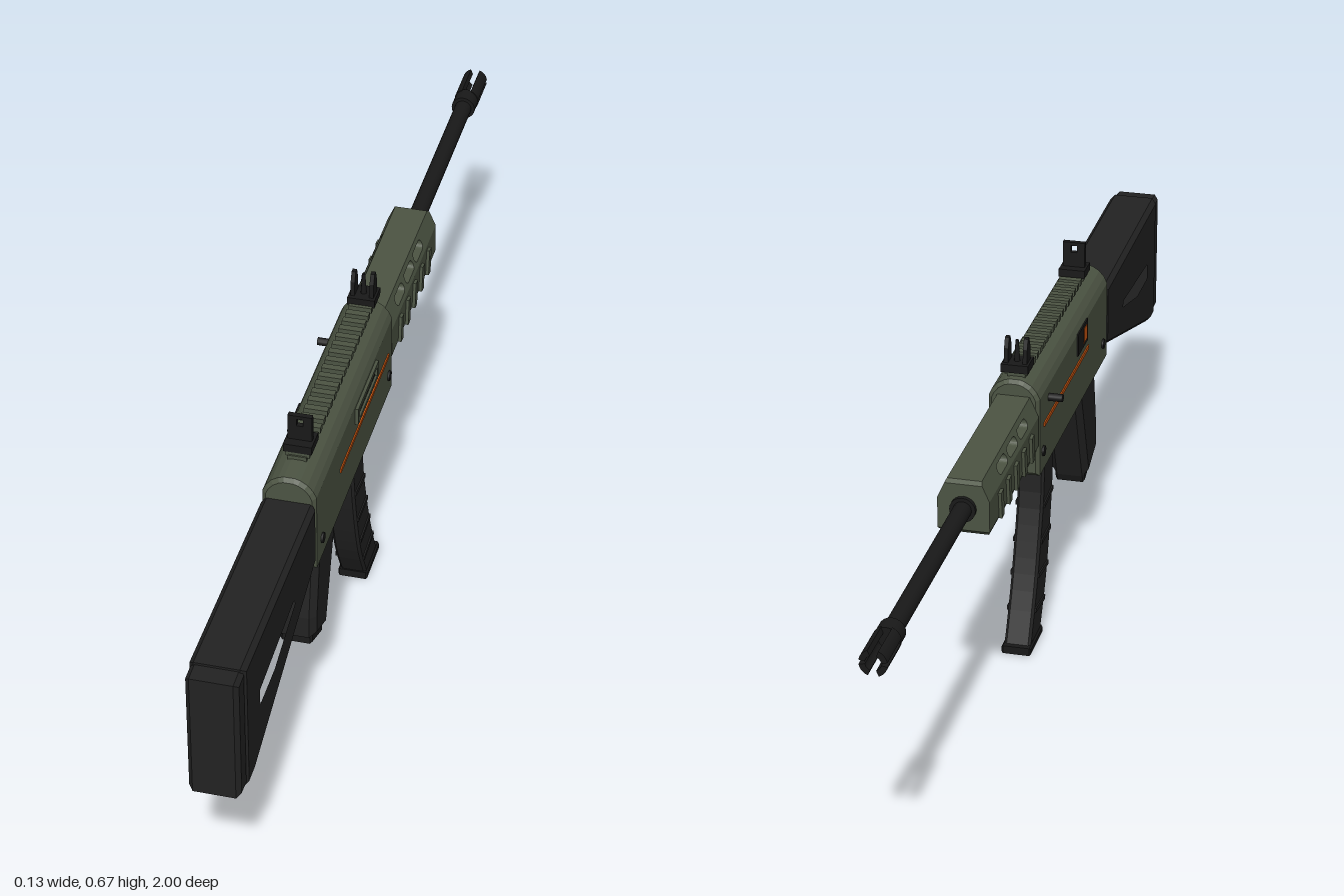
import * as THREE from 'three';

const CX = 0.009; // centre plane of the body
const mat = (name, color) => Object.assign(new THREE.MeshStandardMaterial({ color }), { name });

export function createModel() {
  const root = new THREE.Group();
  root.name = 'rifle';
  const green = mat('olive green', 0x4c5443);
  const polymer = mat('black polymer', 0x222222);
  const metal = mat('dark metal', 0x191919);
  const orange = mat('orange', 0xc9540f);

  const add = (name, geo, material, x = CX, y = 0, z = 0) => {
    const m = new THREE.Mesh(geo, material);
    m.name = name;
    m.position.set(x, y, z);
    root.add(m);
    return m;
  };
  const box = (name, material, w, h, d, x, y, z) =>
    add(name, new THREE.BoxGeometry(w, h, d), material, CX + x, y, z);
  const shapeOf = pts => new THREE.Shape(pts.map(p => new THREE.Vector2(p[0], p[1])));

  // extrudes a (z, y) side profile to a given half width, edges bevelled inwards
  const sideGeo = (shape, half, bevel = 0) => {
    const g = new THREE.ExtrudeGeometry(shape, {
      depth: 2 * (half - bevel), bevelEnabled: bevel > 0, bevelThickness: bevel,
      bevelSize: bevel, bevelOffset: -bevel, bevelSegments: 1, curveSegments: 6,
    });
    return g.translate(0, 0, bevel - half).rotateY(-Math.PI / 2);
  };
  const side = (name, pts, half, bevel, material) =>
    add(name, sideGeo(shapeOf(pts), half, bevel), material);
  // side profile whose half width changes linearly with height
  const tapered = (name, shape, yA, wA, yB, wB, material) => {
    const g = sideGeo(shape, 1);
    const p = g.attributes.position;
    for (let i = 0; i < p.count; i++) {
      const t = THREE.MathUtils.clamp((p.getY(i) - yA) / (yB - yA), 0, 1);
      p.setX(i, p.getX(i) * THREE.MathUtils.lerp(wA, wB, t));
    }
    g.computeVertexNormals();
    add(name, g, material);
  };

  // receiver with arched top cover
  const half = [[0.049, 0.395], [0.049, 0.552], [0.043, 0.565], [0.033, 0.577], [0.02, 0.585], [0.01, 0.588]];
  const section = shapeOf([...half, ...half.map(([x, y]) => [-x, y]).reverse()]);
  const receiver = new THREE.ExtrudeGeometry(section, {
    depth: 0.558, bevelThickness: 0.007, bevelSize: 0.007, bevelOffset: -0.007, bevelSegments: 1,
  });
  add('receiver', receiver, green, CX, 0, -0.06);

  // top rail
  box('railBase', green, 0.034, 0.012, 0.49, 0, 0.589, 0.2);
  for (let i = 0; i < 20; i++) box('railTooth', green, 0.044, 0.012, 0.014, 0, 0.598, -0.04 + i * 0.025);

  // receiver side details
  for (const s of [-1, 1]) {
    box('sideStripe', orange, 0.004, 0.008, 0.363, s * 0.0495, 0.487, 0.151);
    for (const z of [0.462, -0.036]) {
      const pin = new THREE.CylinderGeometry(0.01, 0.01, 0.008, 12).rotateZ(Math.PI / 2);
      add('pin', pin, metal, CX + s * 0.049, 0.436, z);
    }
  }
  const frame = shapeOf([[0.067, 0.51], [0.222, 0.51], [0.222, 0.545], [0.067, 0.545]]);
  frame.holes.push(shapeOf([[0.078, 0.518], [0.078, 0.537], [0.211, 0.537], [0.211, 0.518]]));
  add('portFrame', sideGeo(frame, 0.005), green, CX + 0.05);
  box('portRecess', metal, 0.002, 0.02, 0.134, 0.0495, 0.5275, 0.1445);
  box('portCover', green, 0.004, 0.011, 0.1, 0.0495, 0.5275, 0.15);
  box('windowPlate', metal, 0.004, 0.046, 0.082, -0.0495, 0.53, 0.28);
  box('windowMarker', orange, 0.006, 0.03, 0.026, -0.0495, 0.53, 0.298);
  add('chargingHandle', new THREE.CylinderGeometry(0.0075, 0.0075, 0.034, 12).rotateZ(Math.PI / 2),
    metal, -0.05, 0.526, 0.01);

  // handguard: chamfered top with slots, straight middle, chamfered bottom
  const top = shapeOf([[-0.067, 0.52], [-0.067, 0.558], [-0.42, 0.556], [-0.428, 0.55], [-0.428, 0.52]]);
  for (const z of [-0.159, -0.235, -0.308]) {
    const slot = new THREE.Path();
    slot.absarc(z + 0.021, 0.5375, 0.0095, -Math.PI / 2, Math.PI / 2, false);
    slot.absarc(z - 0.021, 0.5375, 0.0095, Math.PI / 2, Math.PI * 1.5, false);
    top.holes.push(slot);
  }
  tapered('handguardTop', top, 0.52, 0.048, 0.558, 0.031, green);
  side('handguardBody', [[-0.067, 0.46], [-0.067, 0.52], [-0.428, 0.52], [-0.428, 0.46]], 0.048, 0, green);
  tapered('handguardBottom', shapeOf([[-0.067, 0.46], [-0.075, 0.433], [-0.415, 0.449], [-0.428, 0.46]]),
    0.435, 0.037, 0.46, 0.048, green);
  for (const s of [-1, 1]) for (let i = 0; i < 5; i++)
    box('handguardRib', green, 0.01, 0.053, 0.017, s * 0.049, 0.4835, -0.128 - i * 0.057).rotation.x = -0.12;

  // barrel and pronged muzzle
  const tube = (name, r, z0, z1) => add(name,
    new THREE.CylinderGeometry(r, r, z0 - z1, 20).rotateX(Math.PI / 2), metal, CX, 0.503, (z0 + z1) / 2);
  tube('barrelCollar', 0.024, -0.42, -0.436);
  tube('barrel', 0.017, -0.41, -0.9);
  tube('muzzleBase', 0.024, -0.885, -0.92);
  for (let q = 0; q < 4; q++) {
    const a0 = q % 2 ? 0.38 : 0.16, a1 = Math.PI / 2 - (q % 2 ? 0.16 : 0.38);
    const s = new THREE.Shape();
    s.absarc(0, 0, 0.025, a0, a1, false);
    s.absarc(0, 0, 0.014, a1, a0, true);
    const g = new THREE.ExtrudeGeometry(s, { depth: 0.084, bevelEnabled: false, curveSegments: 6 });
    add('muzzleProng', g.rotateZ(q * Math.PI / 2), metal, CX, 0.503, -1);
  }

  // stock with cut-out and butt pad
  const stock = shapeOf([[0.5, 0.415], [0.5, 0.541], [0.965, 0.549], [0.965, 0.286], [0.92, 0.286]]);
  stock.holes.push(shapeOf([[0.888, 0.392], [0.785, 0.392], [0.637, 0.43], [0.65, 0.457], [0.888, 0.442]]));
  add('stock', sideGeo(stock, 0.049, 0.009), polymer);
  side('buttPad', [[0.955, 0.29], [0.955, 0.545], [1, 0.543], [1, 0.292]], 0.046, 0.008, polymer);

  // pistol grip
  side('grip', [[0.325, 0.4], [0.445, 0.4], [0.473, 0.25], [0.473, 0.205], [0.39, 0.172], [0.318, 0.37]],
    0.038, 0.012, polymer);
  side('gripCap', [[0.465, 0.21], [0.468, 0.187], [0.395, 0.157], [0.388, 0.18]], 0.03, 0.004, metal);

  // trigger and guard
  const rod = (name, pts, r) => add(name, new THREE.TubeGeometry(
    new THREE.CatmullRomCurve3(pts.map(([z, y]) => new THREE.Vector3(0, y, z))), 20, r, 8), metal);
  rod('triggerGuard', [[0.35, 0.315], [0.3, 0.313], [0.225, 0.313], [0.197, 0.335], [0.19, 0.4]], 0.008);
  rod('trigger', [[0.312, 0.4], [0.318, 0.37], [0.31, 0.35], [0.298, 0.338]], 0.006);

  // curved magazine with ribs and floor plate
  const spline = pts => new THREE.SplineCurve(pts.map(p => new THREE.Vector2(...p)));
  const back = spline([[0.147, 0.4], [0.142, 0.305], [0.12, 0.2], [0.088, 0.1], [0.042, 0.012]]);
  const front = spline([[0.067, 0.4], [0.062, 0.295], [0.036, 0.2], [0.003, 0.11], [-0.042, 0.014]]);
  const outline = [...back.getPoints(12), ...front.getPoints(12).reverse()];
  add('magazine', sideGeo(new THREE.Shape(outline), 0.026, 0.005), polymer);
  for (const t of [0.32, 0.5, 0.67, 0.83]) {
    const a = back.getPoint(t), b = front.getPoint(t);
    const rib = box('magazineRib', polymer, 0.058, 0.009, a.distanceTo(b) - 0.012,
      0, (a.y + b.y) / 2, (a.x + b.x) / 2);
    rib.rotation.x = -Math.atan2(a.y - b.y, a.x - b.x);
  }
  side('magazineFloor', [[0.047, 0], [0.047, 0.016], [-0.052, 0.016], [-0.052, 0]], 0.029, 0.003, metal);

  // rear sight: plate with aperture
  box('rearSightBase', metal, 0.052, 0.016, 0.046, 0, 0.609, 0.42);
  const plate = shapeOf([[-0.022, 0.615], [0.022, 0.615], [0.022, 0.668], [-0.022, 0.668]]);
  plate.holes.push(shapeOf([[-0.006, 0.647], [-0.006, 0.661], [0.006, 0.661], [0.006, 0.647]]));
  add('rearSight', new THREE.ExtrudeGeometry(plate, { depth: 0.01, bevelEnabled: false }), metal, CX, 0, 0.415);

  // front sight: two ears and a post
  box('frontSightBase', metal, 0.052, 0.016, 0.046, 0, 0.609, -0.038);
  for (const s of [-1, 1])
    add('frontSightEar', sideGeo(shapeOf([[-0.053, 0.615], [-0.023, 0.615], [-0.026, 0.645], [-0.033, 0.664],
      [-0.043, 0.664], [-0.05, 0.645]]), 0.004), metal, CX + s * 0.018);
  add('frontSightPost', new THREE.CylinderGeometry(0.003, 0.006, 0.044, 8), metal, CX, 0.637, -0.038);

  return root;
}
